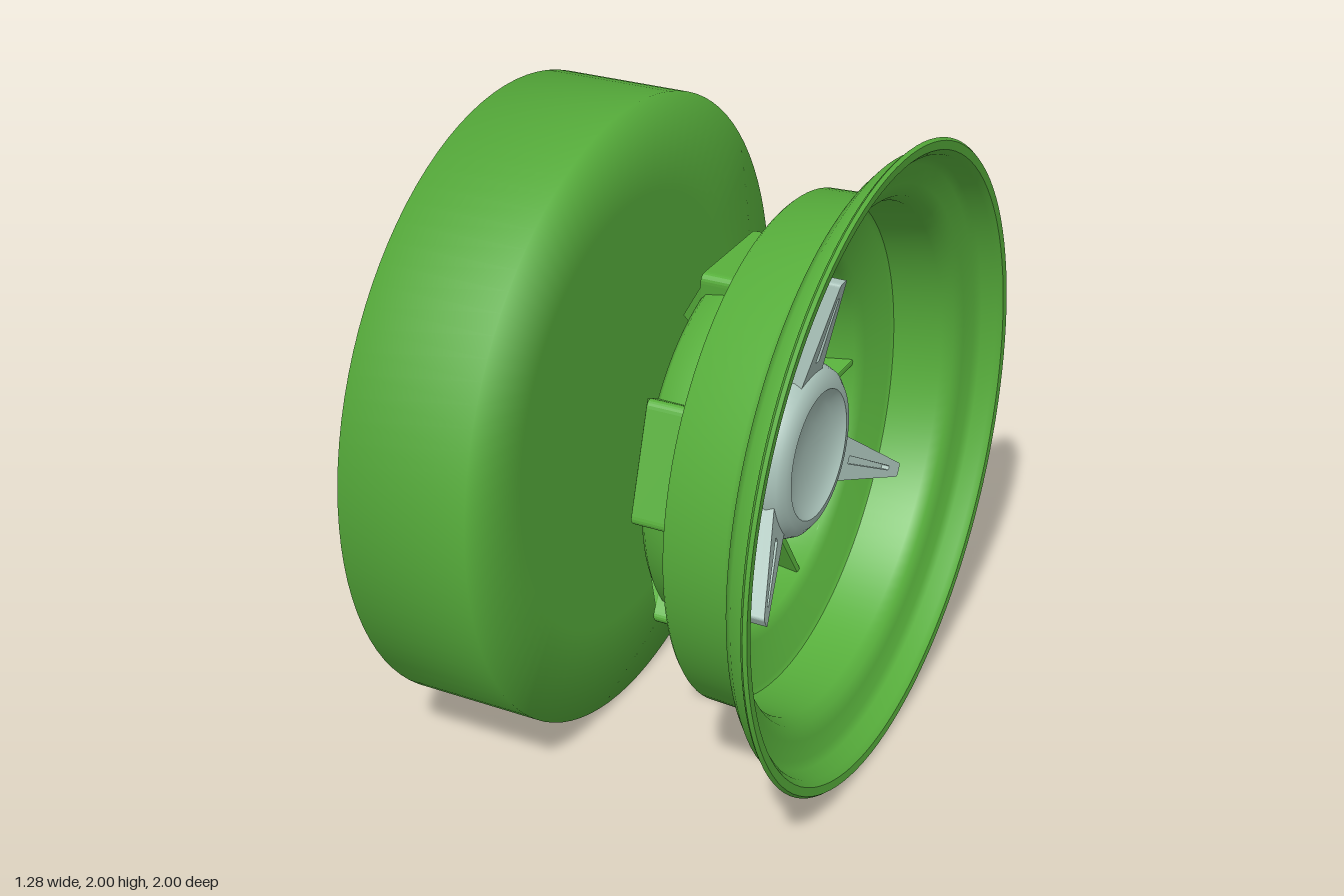
import * as THREE from 'three';
import { toCreasedNormals } from 'three/addons/utils/BufferGeometryUtils.js';

const green = new THREE.MeshStandardMaterial({ color: 0x58b03c, side: THREE.DoubleSide });
green.name = 'green';
const silver = new THREE.MeshStandardMaterial({ color: 0xa9c2b9, side: THREE.DoubleSide });
silver.name = 'silver';

const v2 = ([x, y]) => new THREE.Vector2(x, y);

function add(parent, name, geometry, material) {
  const mesh = new THREE.Mesh(geometry, material);
  mesh.name = name;
  parent.add(mesh);
  return mesh;
}

// Revolve [radius, depth] points around the z axis
function revolve(points, segments = 96) {
  return new THREE.LatheGeometry(points.map(v2), segments).rotateX(Math.PI / 2);
}

// Polygon with rounded corners
function rounded(points, radius, Type = THREE.Shape) {
  const path = new Type();
  const n = points.length;
  points.forEach((p, i) => {
    const c = v2(p);
    const toward = (q) => c.clone().add(v2(q).sub(c).setLength(radius));
    const a = toward(points[(i + n - 1) % n]);
    const b = toward(points[(i + 1) % n]);
    if (i === 0) path.moveTo(a.x, a.y);
    else path.lineTo(a.x, a.y);
    path.quadraticCurveTo(c.x, c.y, b.x, b.y);
  });
  path.closePath();
  return path;
}

function extrude(shape, z, depth, bevel = 0) {
  return new THREE.ExtrudeGeometry(shape, {
    depth: depth - 2 * bevel, bevelEnabled: bevel > 0, bevelThickness: bevel,
    bevelSize: bevel, bevelOffset: -bevel, bevelSegments: 2, curveSegments: 6,
  }).translate(0, 0, z + bevel);
}

// Slide vertices in depth by a rule of their radius
function slant(geometry, rule) {
  const p = geometry.attributes.position;
  for (let i = 0; i < p.count; i++) p.setZ(i, p.getZ(i) + rule(p.getY(i)));
  geometry.computeVertexNormals();
  return geometry;
}

const trapezoid = (r0, w0, r1, w1) => [[-w0, r0], [w0, r0], [w1, r1], [-w1, r1]];

// Framed pocket with a hollow wedge back and three ribs
function makePocket() {
  const pocket = new THREE.Group();
  pocket.name = 'pocket';
  const frame = rounded(trapezoid(0.33, 0.145, 0.61, 0.188), 0.03);
  frame.holes.push(rounded(trapezoid(0.352, 0.122, 0.588, 0.163), 0.02, THREE.Path));
  add(pocket, 'pocketFrame', slant(extrude(frame, 0.1, 0.17, 0.005), (r) => (r - 0.6) * 0.12), green);

  const wedge = new THREE.BufferGeometry();
  wedge.setAttribute('position', new THREE.Float32BufferAttribute([
    -0.15, 0.35, 0.125, 0.15, 0.35, 0.125,
    -0.15, 0.45, 0.028, 0.15, 0.45, 0.028,
    -0.18, 0.57, 0.1, 0.18, 0.57, 0.1,
  ], 3));
  wedge.setIndex([0, 1, 3, 0, 3, 2, 2, 3, 5, 2, 5, 4, 0, 2, 4, 1, 5, 3]);
  const wedgeFlat = wedge.toNonIndexed();
  wedgeFlat.computeVertexNormals();
  add(pocket, 'pocketBack', wedgeFlat, green);

  for (const x of [-0.05, 0, 0.05]) {
    const curve = new THREE.CatmullRomCurve3([
      new THREE.Vector3(x, 0.26, 0.25), new THREE.Vector3(x, 0.35, 0.25),
      new THREE.Vector3(x, 0.4, 0.2), new THREE.Vector3(x, 0.415, 0.1),
    ]);
    add(pocket, 'rib', new THREE.TubeGeometry(curve, 12, 0.014, 8), green);
  }
  return pocket;
}

// Triangular loop with a small pin
function makeLoop() {
  const loop = new THREE.Group();
  loop.name = 'triangleLoop';
  const outer = rounded([[0, 0.31], [0.085, 0.485], [-0.085, 0.485]], 0.03);
  outer.holes.push(rounded([[0, 0.35], [0.06, 0.47], [-0.06, 0.47]], 0.02, THREE.Path));
  add(loop, 'triangleFrame', extrude(outer, 0.12, 0.06, 0.004), green);
  const pin = new THREE.CylinderGeometry(0.011, 0.011, 0.1, 10).translate(0, 0.525, 0.2);
  add(loop, 'pin', pin, silver);
  return loop;
}

// Tapering spinner blade, grooved along the middle
function makeBlade() {
  const blade = new THREE.Group();
  blade.name = 'spinnerBlade';
  const outline = [[-0.08, 0.22], [0.08, 0.22], [0.022, 0.585], [-0.022, 0.585]];
  const lean = (r) => (r - 0.22) * 0.28;
  add(blade, 'bladeBack', slant(extrude(rounded(outline, 0.01), 0.32, 0.025), lean), silver);
  const front = rounded(outline, 0.01);
  front.holes.push(rounded(trapezoid(0.31, 0.013, 0.53, 0.007), 0.004, THREE.Path));
  add(blade, 'bladeFront', slant(extrude(front, 0.345, 0.025), lean), silver);
  return blade;
}

function repeat(parent, count, start, make) {
  for (let i = 0; i < count; i++) {
    const part = make();
    part.rotation.z = start + (i * 2 * Math.PI) / count;
    parent.add(part);
  }
}

export function createModel() {
  const model = new THREE.Group();
  model.name = 'wheelAndDrum';

  // Everything is built facing +z, then turned to face +x
  const assembly = new THREE.Group();
  assembly.name = 'assembly';
  assembly.rotation.y = Math.PI / 2;
  assembly.position.y = 1;
  model.add(assembly);

  // Solid drum with soft shading across its edges
  add(assembly, 'drum', revolve([
    [0, -0.645], [0.7, -0.645], [1, -0.645], [1, -0.225], [0.7, -0.225], [0, -0.225],
  ]), green);

  // Rim shell: outside from back to lip, then inside down to the floor
  const rim = revolve([
    [0.53, 0.095], [0.555, 0.097], [0.575, 0.115], [0.59, 0.2], [0.6, 0.25], [0.62, 0.28],
    [0.785, 0.283], [0.793, 0.292], [0.8, 0.48], [0.815, 0.51], [0.85, 0.53], [0.92, 0.543],
    [0.95, 0.57], [0.963, 0.615], [0.99, 0.62], [1, 0.63], [0.992, 0.64], [0.965, 0.638],
    [0.948, 0.62], [0.932, 0.575], [0.91, 0.557], [0.85, 0.545], [0.81, 0.525], [0.79, 0.49],
    [0.778, 0.33], [0.765, 0.32], [0.62, 0.295], [0.59, 0.27], [0.565, 0.17], [0.55, 0.135],
    [0.53, 0.125],
  ], 112);
  add(assembly, 'rim', toCreasedNormals(rim, 0.7), green);

  // Wheel floor pierced behind each pocket
  const floor = new THREE.Shape().absarc(0, 0, 0.54, 0, Math.PI * 2);
  for (let i = 0; i < 5; i++) {
    const a = (i * 2 * Math.PI) / 5;
    const corners = trapezoid(0.352, 0.125, 0.52, 0.15).map((p) => {
      const c = v2(p).rotateAround(new THREE.Vector2(), a);
      return [c.x, c.y];
    });
    floor.holes.push(rounded(corners, 0.01, THREE.Path));
  }
  add(assembly, 'wheelFloor', new THREE.ExtrudeGeometry(floor, {
    depth: 0.03, bevelEnabled: false, curveSegments: 48,
  }).translate(0, 0, 0.095), green);

  repeat(assembly, 5, 0, makePocket);
  repeat(assembly, 5, Math.PI / 5, makeLoop);

  // Hub with a flared skirt, rolled collar and dished cap
  const hub = revolve([
    [0.345, 0.12], [0.345, 0.145], [0.325, 0.175], [0.285, 0.22], [0.255, 0.27], [0.25, 0.31],
    [0.268, 0.33], [0.273, 0.355], [0.26, 0.385], [0.235, 0.405], [0.205, 0.41], [0.195, 0.4],
    [0.16, 0.38], [0.09, 0.366], [0, 0.36],
  ], 72);
  add(assembly, 'hub', toCreasedNormals(hub, 0.8), silver);
  repeat(assembly, 3, 0, makeBlade);

  return model;
}
